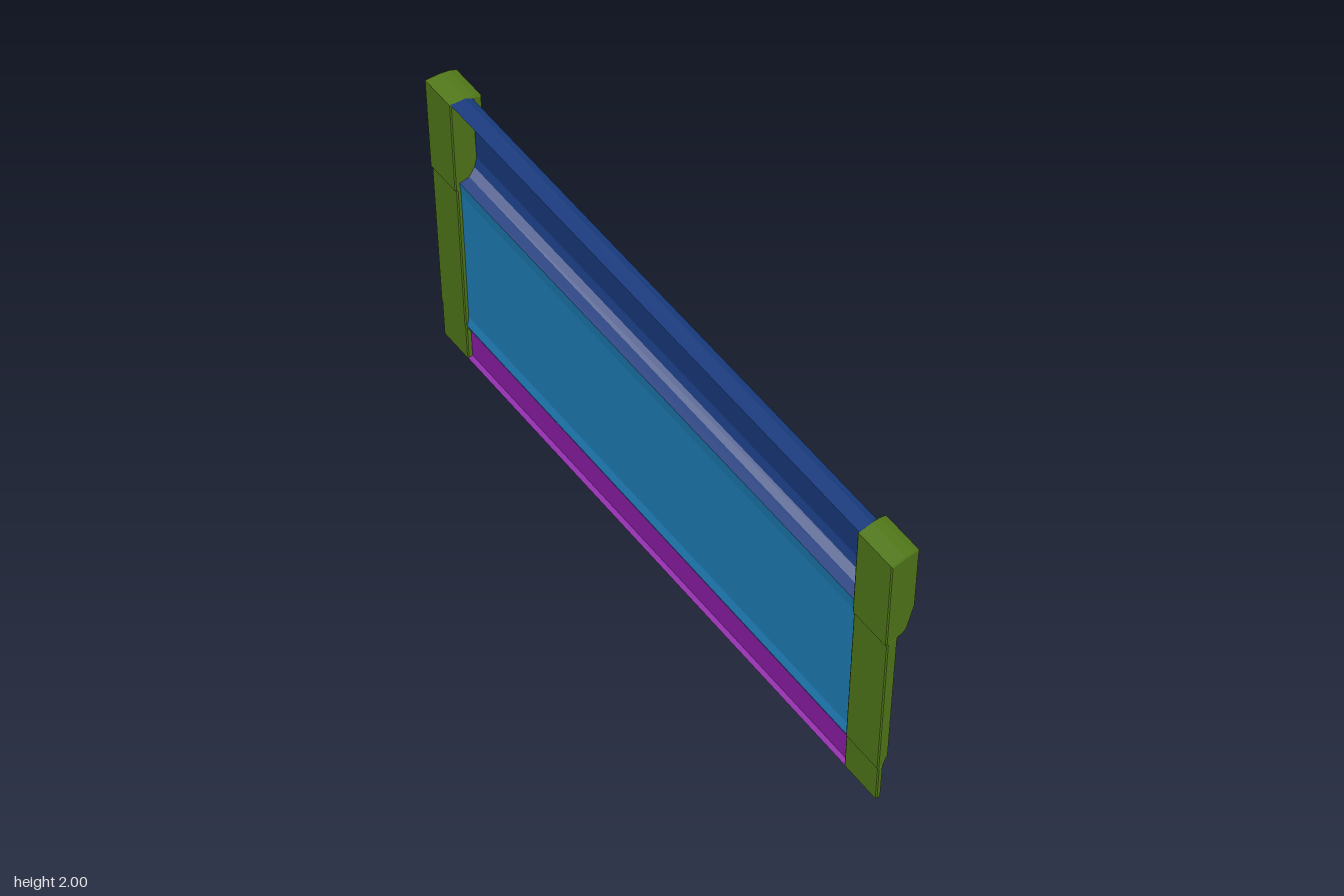
import * as THREE from 'three';

const GREEN = 0x4f7518, BLUE = 0x17387a, CYAN = 0x1c7ab2, PURPLE = 0x8a1ca4;

const mat = (color) => new THREE.MeshStandardMaterial({ color, side: THREE.DoubleSide });

// Slopes a level part upwards to the back, with a very slight sideways lean
function slope(geo) {
  const p = geo.attributes.position;
  for (let i = 0; i < p.count; i++) {
    const z = p.getZ(i);
    p.setXY(i, p.getX(i) + 0.004 * z - 0.004, p.getY(i) + (1 - z) / 2);
  }
  geo.computeVertexNormals();
  return geo;
}

// Solid block with an [x, y] outline, running from z0 to z1, edges slightly bevelled
function block(name, outline, z0, z1) {
  const b = 0.004;
  const shape = new THREE.Shape(outline.map(([x, y]) => new THREE.Vector2(x, y)));
  const geo = new THREE.ExtrudeGeometry(shape, {
    depth: z1 - z0 - 2 * b, bevelEnabled: true, bevelSize: b,
    bevelThickness: b, bevelOffset: -b, bevelSegments: 1,
  });
  geo.translate(0, 0, z0 + b);
  const mesh = new THREE.Mesh(slope(geo), mat(GREEN));
  mesh.name = name;
  return mesh;
}

// Open sheet: an [x, y] profile from top to bottom, swept between the posts
function sheet(name, profile, color) {
  const zf = 0.865, zb = -0.885, pos = [];
  for (let i = 0; i < profile.length - 1; i++) {
    const [p, q] = [profile[i], profile[i + 1]];
    pos.push(...p, zf, ...q, zf, ...q, zb, ...p, zf, ...q, zb, ...p, zb);
  }
  const geo = new THREE.BufferGeometry();
  geo.setAttribute('position', new THREE.Float32BufferAttribute(pos, 3));
  const mesh = new THREE.Mesh(slope(geo), mat(color));
  mesh.name = name;
  return mesh;
}

// End post in three stacked blocks
function post(name, z0, z1) {
  const g = new THREE.Group();
  g.name = name;
  g.add(
    block('postCap', [[-0.07, 0.68], [0.02, 0.68], [0.038, 0.69], [0.073, 0.765],
      [0.073, 0.987], [0.04, 0.996], [0, 1], [-0.07, 1]], z0, z1),
    block('postMiddle', [[-0.063, 0.14], [-0.035, 0.14], [-0.01, 0.17],
      [-0.01, 0.685], [-0.063, 0.685]], z0, z1),
    block('postFoot', [[-0.06, 0], [-0.035, 0], [-0.035, 0.142], [-0.06, 0.142]], z0, z1),
  );
  return g;
}

export function createModel() {
  const model = new THREE.Group();
  model.name = 'slopedRailing';
  model.add(post('frontPost', 0.86, 1), post('backPost', -1, -0.88));

  // Handrail with a bevelled underside
  model.add(sheet('rail', [[-0.066, 1], [0, 1], [0.03, 0.993], [0.034, 0.77],
    [0.022, 0.738], [-0.005, 0.712], [-0.05, 0.705]], BLUE));
  // Recessed infill panel
  model.add(sheet('panel', [[-0.05, 0.705], [-0.046, 0.66], [-0.046, 0.17], [-0.055, 0.13]], CYAN));
  // Bottom skirting with a narrow ledge
  model.add(sheet('skirting', [[-0.056, 0.135], [-0.038, 0.128], [-0.038, 0.004], [-0.06, 0.002]], PURPLE));
  return model;
}
